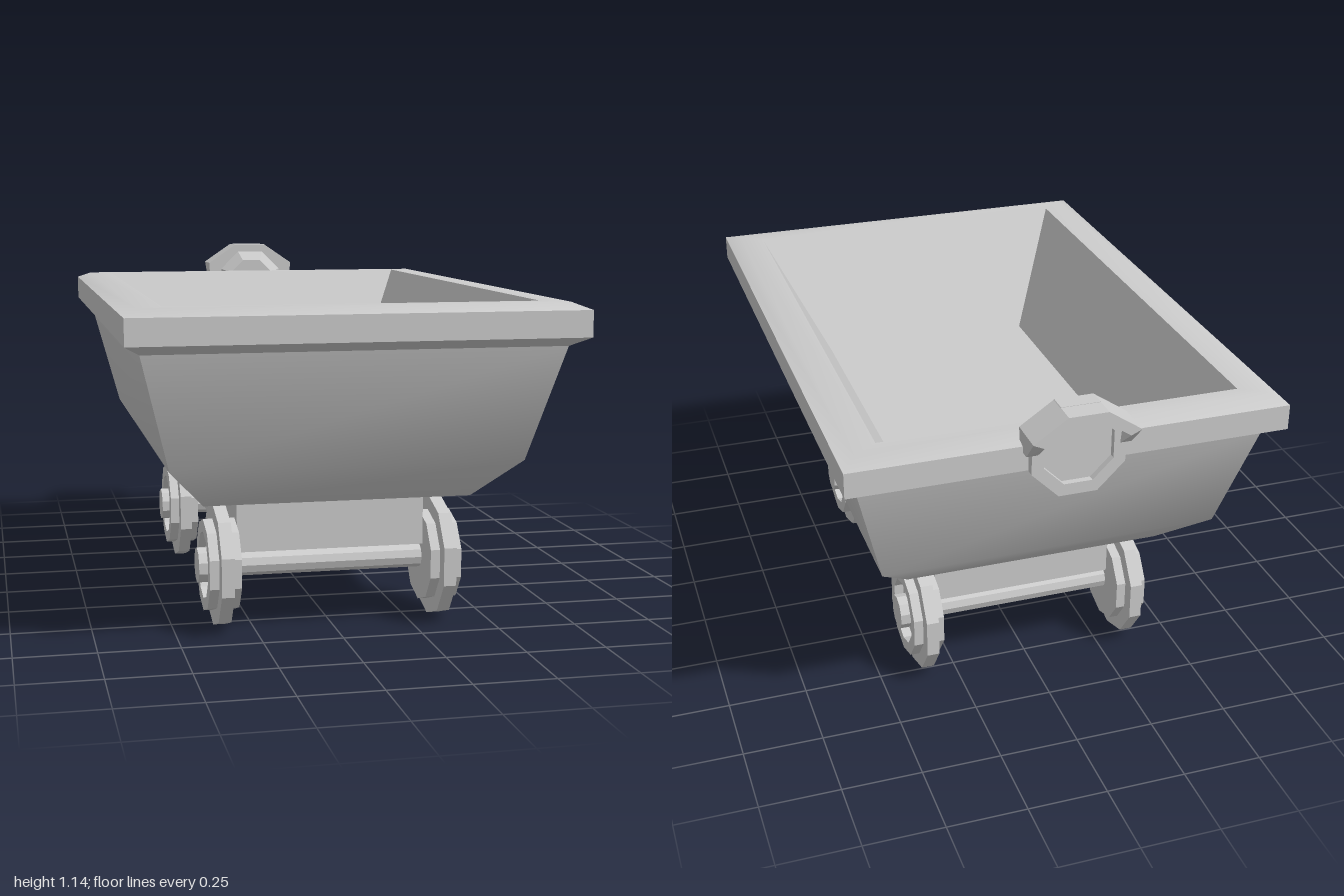
import * as THREE from 'three';
import { toCreasedNormals } from 'three/addons/utils/BufferGeometryUtils.js';

const smooth = new THREE.MeshStandardMaterial({ color: 0xcccccc });
const faceted = new THREE.MeshStandardMaterial({ color: 0xcccccc, flatShading: true });

function add(parent, name, geometry, material = faceted) {
  const mesh = new THREE.Mesh(geometry, material);
  mesh.name = name;
  parent.add(mesh);
  return mesh;
}

// Skins a stack of rectangles [halfWidth, zBack, zFront, y] and caps both ends.
function rectLoft(sections) {
  const position = [], index = [];
  for (const [x, z0, z1, y] of sections) {
    position.push(-x, y, z1, x, y, z1, x, y, z0, -x, y, z0);
  }
  for (let s = 0; s < sections.length - 1; s++) {
    for (let i = 0; i < 4; i++) {
      const a = s * 4 + i, b = s * 4 + (i + 1) % 4;
      index.push(a, b, b + 4, a, b + 4, a + 4);
    }
  }
  const t = (sections.length - 1) * 4;
  index.push(0, 2, 1, 0, 3, 2, t, t + 1, t + 2, t, t + 2, t + 3);
  const g = new THREE.BufferGeometry();
  g.setAttribute('position', new THREE.Float32BufferAttribute(position, 3));
  g.setIndex(index);
  return toCreasedNormals(g, 0.6);
}

function lathe(profile, sides, phiStart) {
  return new THREE.LatheGeometry(profile.map(p => new THREE.Vector2(...p)), sides, phiStart);
}

// Headlamp hood: an arch whose lower tips are cut back at the open end
function hoodGeometry() {
  const outer = [[0.16, 0.995], [0.163, 1.065], [0.06, 1.135]];
  const inner = [[0.125, 0.995], [0.13, 1.05], [0.047, 1.105]];
  const arch = [
    ...outer, ...outer.map(([x, y]) => [-x, y]).reverse(),
    ...inner.map(([x, y]) => [-x, y]), ...inner.slice().reverse(),
  ];
  const shape = new THREE.Shape(arch.map(p => new THREE.Vector2(...p)));
  const g = new THREE.ExtrudeGeometry(shape, { depth: 0.12, bevelEnabled: false });
  g.translate(0, 0, -1);
  const p = g.attributes.position;
  for (let i = 0; i < p.count; i++) {
    if (p.getZ(i) < -0.95 && p.getY(i) < 1.03) p.setZ(i, -0.935);
  }
  g.computeVertexNormals();
  return g;
}

export function createModel() {
  const cart = new THREE.Group();
  cart.name = 'mineCart';

  // Tub: outer wall, overhanging rim, then inner wall down to the floor
  add(cart, 'tub', rectLoft([
    [0.42, -0.58, 0.68, 0.415],
    [0.54, -0.74, 0.835, 0.55],
    [0.632, -0.84, 0.935, 0.905],
    [0.68, -0.907, 1.0, 0.935],
    [0.68, -0.907, 1.0, 1.015],
    [0.635, -0.845, 0.935, 1.035],
    [0.56, -0.795, 0.878, 1.035],
    [0.37, -0.55, 0.637, 0.66],
  ]), smooth);

  // Chassis block
  add(cart, 'chassis', new THREE.BoxGeometry(0.6, 0.18, 1.04)).position.set(0, 0.33, 0.05);

  // Axles and stepped ten-sided wheels with recessed faces
  const wheel = lathe([
    [0, -0.05], [0.147, -0.05], [0.147, -0.02], [0.195, -0.02], [0.195, 0.02],
    [0.147, 0.02], [0.147, 0.05], [0.107, 0.05], [0.107, 0.02],
    [0.056, 0.02], [0.056, 0.07], [0, 0.07],
  ], 10, Math.PI / 2);
  for (const [end, z] of [['front', 0.525], ['back', -0.43]]) {
    const axle = add(cart, end + 'Axle', new THREE.CylinderGeometry(0.039, 0.039, 0.64, 10));
    axle.rotation.z = Math.PI / 2;
    axle.position.set(0, 0.195, z);
    for (const side of [1, -1]) {
      const w = add(cart, end + (side > 0 ? 'Left' : 'Right') + 'Wheel', wheel);
      w.rotation.z = -side * Math.PI / 2;
      w.position.set(side * 0.35, 0.195, z);
    }
  }

  // Hooded lamp on the back rim, facing backwards
  const lamp = new THREE.Group();
  lamp.name = 'lamp';
  cart.add(lamp);
  const body = add(lamp, 'lampBody', lathe([
    [0, 0.845], [0.09, 0.845], [0.125, 0.88], [0.155, 0.88],
    [0.155, 0.935], [0.115, 0.935], [0.115, 0.915], [0, 0.915],
  ], 8, Math.PI / 8));
  body.rotation.x = -Math.PI / 2;
  body.position.y = 0.993;
  add(lamp, 'lampHood', hoodGeometry());

  return cart;
}
